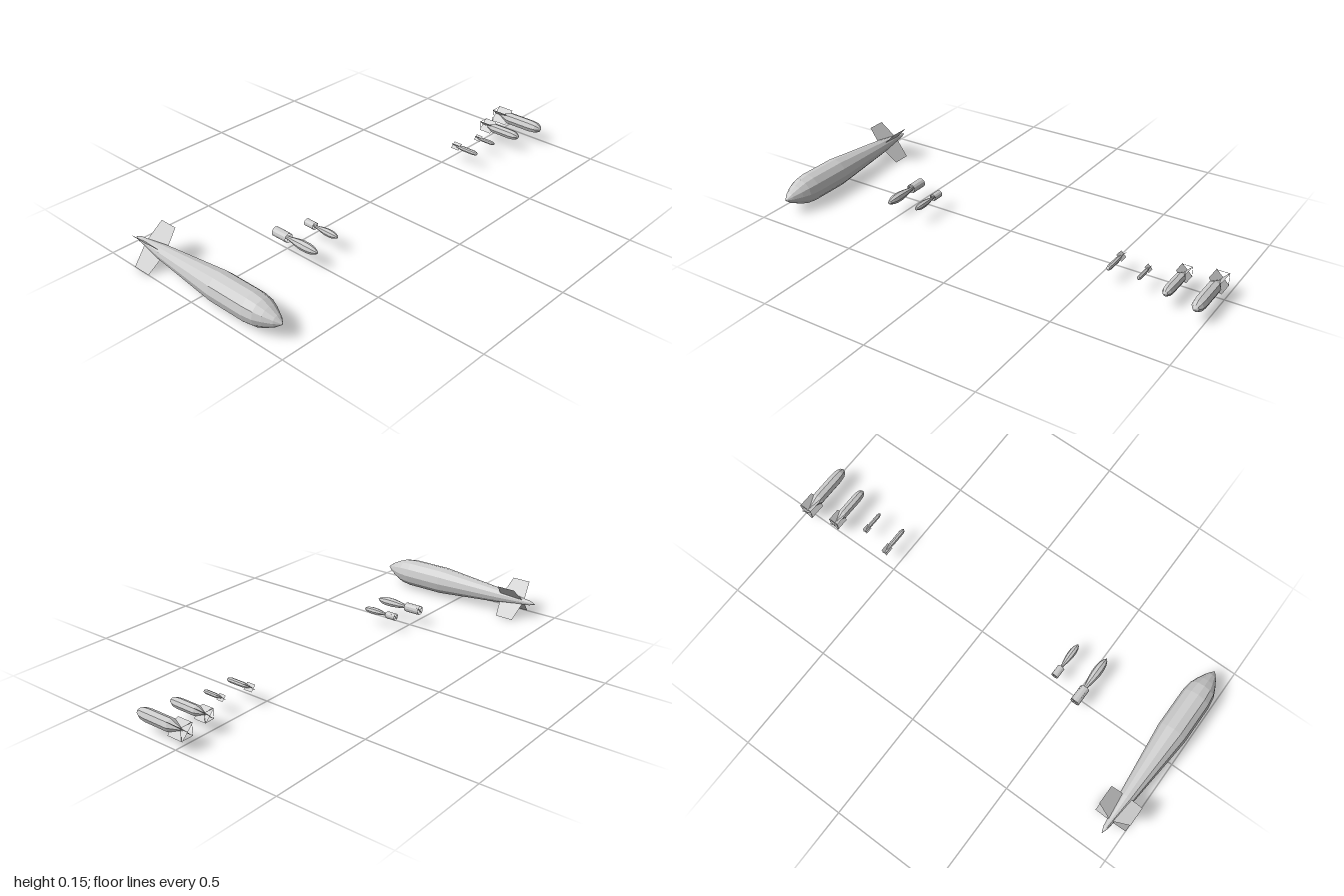
import * as THREE from 'three';

const AXIS_Y = 0.0755;
const grey = new THREE.MeshStandardMaterial({ color: 0xcccccc, flatShading: true });
const sheet = new THREE.MeshStandardMaterial({ color: 0xcccccc, flatShading: true, side: THREE.DoubleSide });

function addMesh(parent, name, geometry, material = grey) {
  const mesh = new THREE.Mesh(geometry, material);
  mesh.name = name;
  parent.add(mesh);
  return mesh;
}

// Faceted body turned around the z axis; profile is [z, radius] from tail to nose
function addBody(parent, profile, sides) {
  const points = profile.map(([z, r]) => new THREE.Vector2(r, z));
  addMesh(parent, 'body', new THREE.LatheGeometry(points, sides).rotateX(Math.PI / 2));
}

// Four flat fins in an X; outline is [radius, z]
function addFins(parent, outline) {
  const shape = new THREE.Shape(outline.map(([r, z]) => new THREE.Vector2(r, z)));
  for (let i = 0; i < 4; i++) {
    const geometry = new THREE.ShapeGeometry(shape).rotateX(Math.PI / 2);
    geometry.rotateZ(Math.PI / 4 + (i * Math.PI) / 2);
    addMesh(parent, 'fin', geometry, sheet);
  }
}

function newBomb(root, name, x) {
  const group = new THREE.Group();
  group.name = name;
  group.position.set(x, AXIS_Y, 0);
  root.add(group);
  return group;
}

// Big streamlined bomb with trapezoid fins
function addLargeBomb(root) {
  const bomb = newBomb(root, 'largeBomb', -0.925);
  addBody(bomb, [
    [-0.43, 0], [-0.4, 0.011], [-0.35, 0.017], [-0.25, 0.033], [0.09, 0.066],
    [0.275, 0.066], [0.325, 0.059], [0.36, 0.045], [0.4, 0.024], [0.43, 0],
  ], 12);
  addFins(bomb, [[0.01, -0.25], [0.038, -0.25], [0.1065, -0.263], [0.1065, -0.35], [0.014, -0.365], [0.004, -0.365]]);
}

// Teardrop bomb with an open ring tail carried on crossed fins
function addRingTailBomb(root, x, nose, tail, r, ringLength) {
  const bomb = newBomb(root, 'ringTailBomb', x);
  const len = nose - tail;
  const at = (t) => tail + t * len;
  const ringFront = tail + ringLength;
  addBody(bomb, [
    [at(0.12), 0], [at(0.16), r * 0.2], [at(0.34), r * 0.42], [at(0.52), r * 0.82], [at(0.64), r],
    [at(0.78), r], [at(0.88), r * 0.82], [at(0.96), r * 0.42], [nose, 0],
  ], 8);
  const ring = new THREE.CylinderGeometry(r * 1.02, r * 1.02, ringLength, 12, 1, true).rotateX(Math.PI / 2);
  addMesh(bomb, 'tailRing', ring, sheet).position.z = tail + ringLength / 2;
  addFins(bomb, [[0, ringFront], [r, ringFront], [r, tail], [0, tail]]);
}

// Blunt bomb with X fins whose tips are joined by thin struts
function addFinnedBomb(root, x, nose, tail, r) {
  const bomb = newBomb(root, 'finnedBomb', x);
  const len = nose - tail;
  const at = (t) => tail + t * len;
  addBody(bomb, [
    [at(0.06), 0], [at(0.12), r * 0.14], [at(0.32), r], [at(0.78), r],
    [at(0.9), r * 0.87], [at(0.97), r * 0.5], [nose, 0],
  ], 8);
  const tip = r * Math.SQRT2;
  addFins(bomb, [[r * 0.9, at(0.31)], [tip, at(0.29)], [tip, tail], [0, tail], [0, at(0.14)]]);
  for (let i = 0; i < 4; i++) {
    const strut = new THREE.BoxGeometry(r * 2, 0.0012, 0.0012).translate(0, r - 0.0006, at(0.02));
    addMesh(bomb, 'tailStrut', strut.rotateZ((i * Math.PI) / 2));
  }
}

// Small slim bomb: cylinder, rounded nose, short crossed fins
function addSmallBomb(root, x, nose, tail, r) {
  const bomb = newBomb(root, 'smallBomb', x);
  const len = nose - tail;
  const at = (t) => tail + t * len;
  addBody(bomb, [
    [at(0.14), 0], [at(0.14), r * 0.35], [at(0.32), r * 0.85], [at(0.4), r],
    [at(0.86), r], [at(0.95), r * 0.7], [nose, 0],
  ], 8);
  const tip = r * 1.5;
  addFins(bomb, [[0, at(0.3)], [tip, at(0.3)], [tip, tail], [0, tail]]);
}

export function createModel() {
  const root = new THREE.Group();
  root.name = 'bombSet';
  addLargeBomb(root);
  addRingTailBomb(root, -0.521, 0.2, -0.043, 0.021, 0.078);
  addRingTailBomb(root, -0.386, 0.18, 0, 0.016, 0.05);
  addSmallBomb(root, 0.56, 0.16, 0.015, 0.0115);
  addSmallBomb(root, 0.695, 0.157, 0.045, 0.0095);
  addFinnedBomb(root, 0.83, 0.2, -0.013, 0.023);
  addFinnedBomb(root, 0.97, 0.232, -0.039, 0.029);
  return root;
}
